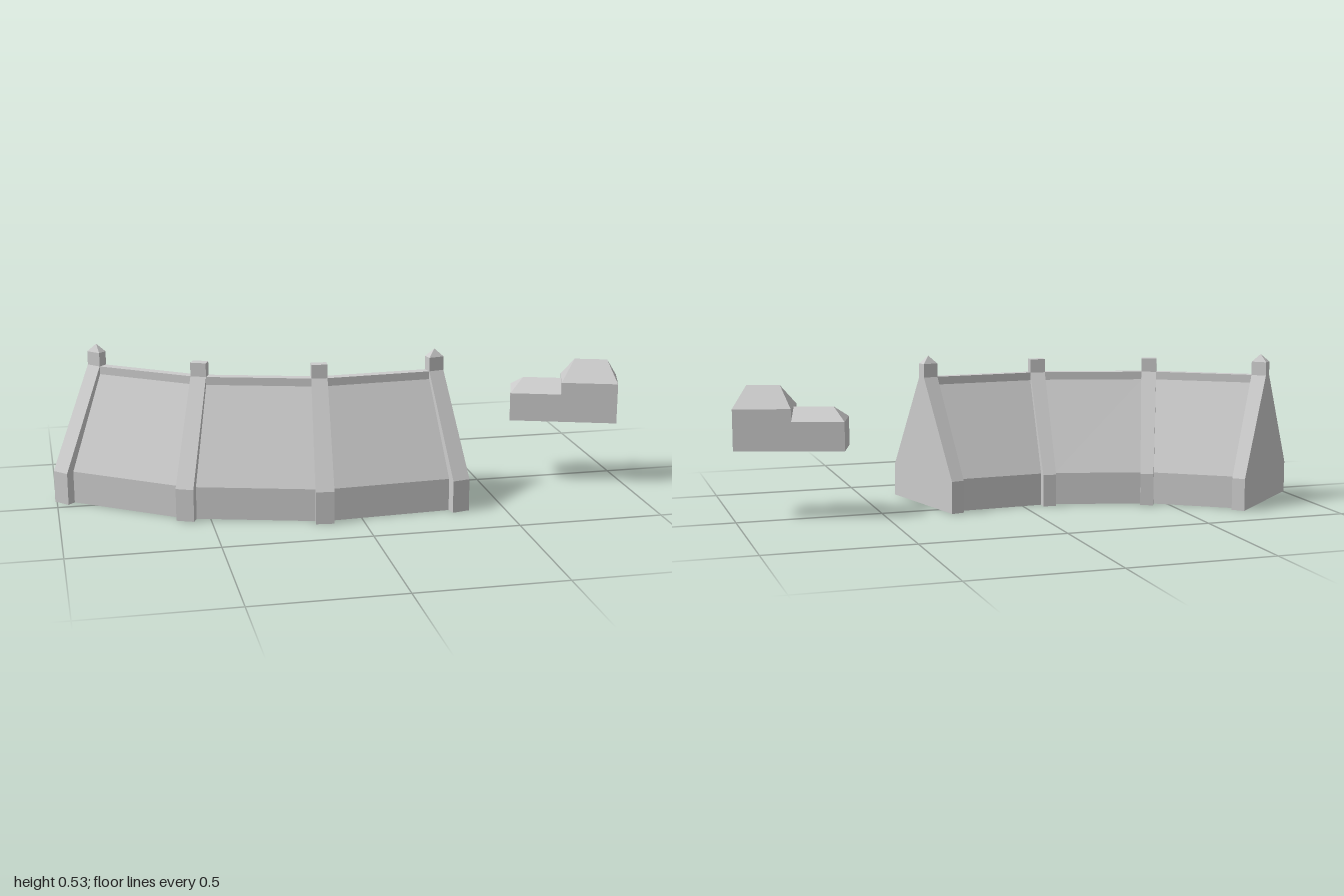
import * as THREE from 'three';

const material = new THREE.MeshStandardMaterial({
  color: 0xcccccc, flatShading: true, side: THREE.DoubleSide,
});

// Flat-shaded surface spanning two matching rows of points
function strip(a, b) {
  const p = [];
  for (let i = 0; i < a.length - 1; i++) {
    for (const v of [a[i], a[i + 1], b[i + 1], a[i], b[i + 1], b[i]]) p.push(...v);
  }
  return p;
}

function addMesh(parent, name, positions) {
  const geo = new THREE.BufferGeometry();
  geo.setAttribute('position', new THREE.Float32BufferAttribute(positions, 3));
  geo.computeVertexNormals();
  const mesh = new THREE.Mesh(geo, material);
  mesh.name = name;
  parent.add(mesh);
}

// Symmetric outline [across, height] from half of it
const mirrored = (half) => [...half, ...half.map(([w, y]) => [-w, y]).reverse()];
const ribOutline = mirrored([[0.209, 0], [0.209, 0.112], [0.017, 0.4525], [0.017, 0.5]]);
const hallOutline = mirrored([[0.177, 0], [0.177, 0.112], [0.0165, 0.425], [0.0165, 0.4525]]);

// Rib stations along the curve: centre x, z and the direction of the front end
const stations = [
  { x: -0.836, z: -0.19, dx: -0.71, dz: 0.704 },
  { x: -0.504, z: 0.038, dx: -0.396, dz: 0.918 },
  { x: -0.111, z: 0.145, dx: -0.1, dz: 0.995 },
  { x: 0.298, z: 0.122, dx: 0.227, dz: 0.974 },
];

// Outline placed on one side (-1, 0 or 1) of a rib, which widens towards the front
function place(s, outline, side) {
  return outline.map(([w, y]) => {
    const t = side * (0.027 + 0.019 * w);
    return [s.x + s.dx * w + s.dz * t, y, s.z + s.dz * w - s.dx * t];
  });
}

// Hipped block: box with a ridge, lengthwise along x
function hippedBlock(parent, name, x0, x1, r0, r1, base, eave, ridge) {
  const w = 0.0705;
  const ring = (y) => [[x0, y, w], [x1, y, w], [x1, y, -w], [x0, y, -w], [x0, y, w]];
  const a = [r0, ridge, 0], b = [r1, ridge, 0];
  const floor = ring(base);
  addMesh(parent, name, [
    ...strip(floor, ring(eave)),
    ...strip([floor[0], floor[3]], [floor[1], floor[2]]),
    ...strip(ring(eave), [a, b, b, a, a]),
  ]);
}

export function createModel() {
  const model = new THREE.Group();
  model.name = 'curvedHall';

  // Wall and roof shells between the ribs
  for (let i = 0; i < 3; i++) {
    addMesh(model, 'roofSection' + (i + 1),
      strip(place(stations[i], hallOutline, 1), place(stations[i + 1], hallOutline, -1)));
  }

  // Raised ribs, with gables and pointed posts at both ends
  stations.forEach((s, i) => {
    const left = place(s, ribOutline, -1), right = place(s, ribOutline, 1);
    const rib = new THREE.Group();
    rib.name = 'rib' + (i + 1);
    model.add(rib);
    addMesh(rib, 'ribBand', strip(left, right));
    const outer = i === 0 ? -1 : i === 3 ? 1 : 0;
    for (const side of [-1, 1]) {
      const edge = side < 0 ? left : right;
      if (side === outer) {
        addMesh(rib, 'gable', strip(edge.slice(0, 4), edge.slice(4).reverse()));
      } else {
        addMesh(rib, 'ribFlank', strip(edge, place(s, hallOutline, side)));
      }
    }
    if (outer) {
      const rim = [left[3], right[3], right[4], left[4], left[3]];
      addMesh(rib, 'postCap', strip(rim, rim.map(() => [s.x, 0.527, s.z])));
    }
  });

  // Separate raised house: a tall part and a lower wing
  const house = new THREE.Group();
  house.name = 'house';
  hippedBlock(house, 'houseTall', -0.009, 0.188, 0.036, 0.15, 0.235, 0.378, 0.45);
  hippedBlock(house, 'houseWing', -0.188, -0.009, -0.144, -0.009, 0.235, 0.335, 0.378);
  house.position.set(0.797, 0, 0.053);
  house.rotation.y = -0.316;
  model.add(house);

  return model;
}
